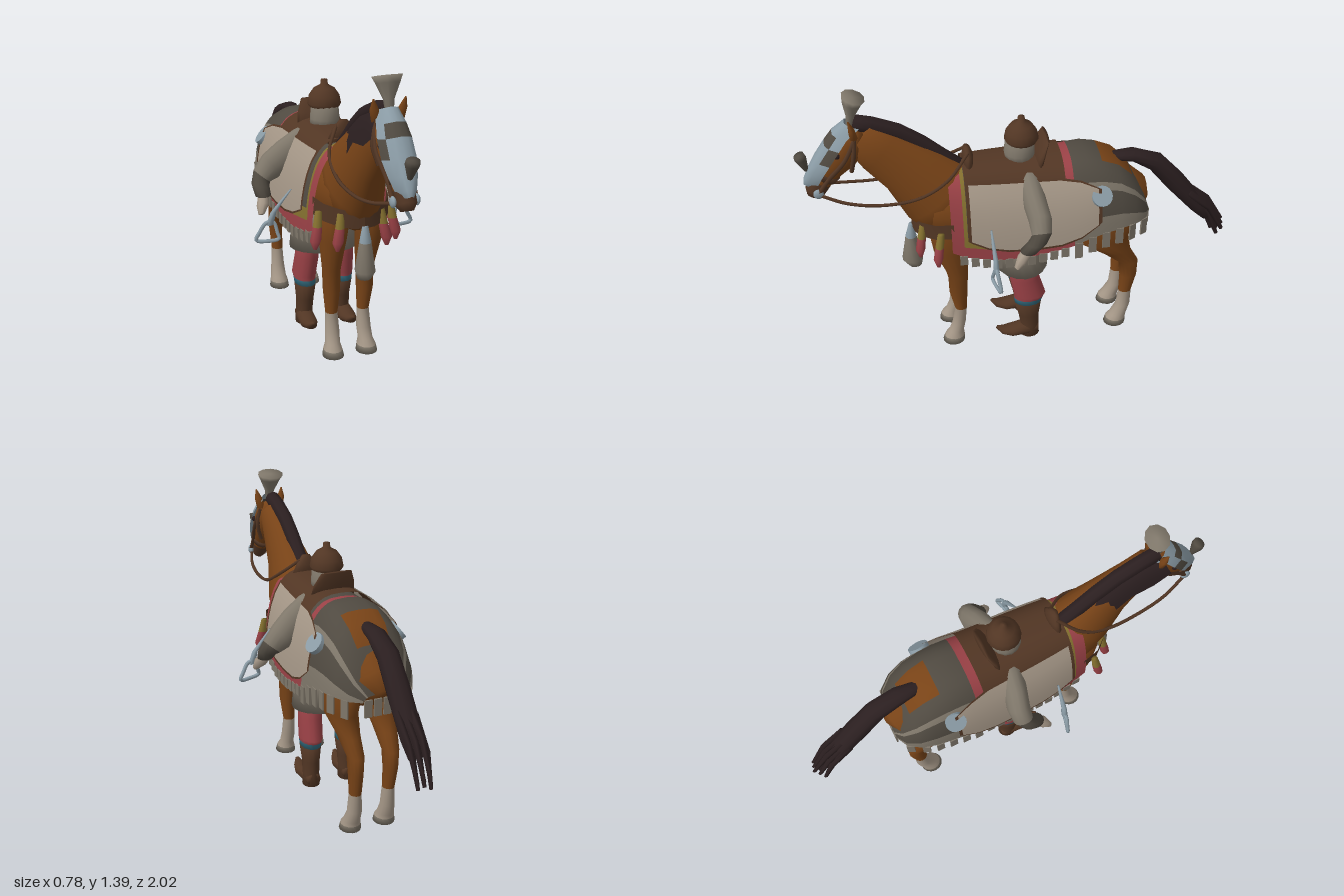
import * as THREE from 'three';

const V = (x, y, z) => new THREE.Vector3(x, y, z);
const X = V(1, 0, 0), Z = V(0, 0, 1);
const paint = (name, color) => new THREE.MeshStandardMaterial({ name, color, side: THREE.DoubleSide });

export function createModel() {
  const model = new THREE.Group();
  const M = {
    coat: paint('chestnut coat', 0x784317), leather: paint('brown leather', 0x523624),
    hair: paint('dark hair', 0x2b1f20), cloth: paint('grey cloth', 0x7f776a),
    cream: paint('cream cloth', 0xa69888), dark: paint('dark grey cloth', 0x504a41),
    red: paint('red cloth', 0x9a4146), steel: paint('pale steel', 0x8b9ca6),
    ochre: paint('ochre trim', 0x84702f), blue: paint('blue trim', 0x356f82),
  };

  const add = (name, geo, mat) => {
    const mesh = new THREE.Mesh(geo, mat);
    mesh.name = name;
    model.add(mesh);
    return mesh;
  };

  // Surface through rows of points; pick(i, j) names the colour of each cell
  function skin(name, rows, pick, closed = false) {
    const n = rows[0].length, cells = closed ? n : n - 1, faces = {};
    for (let i = 0; i < rows.length - 1; i++) for (let j = 0; j < cells; j++) {
      const a = i * n + j, b = i * n + (j + 1) % n, c = a + n, d = b + n;
      (faces[pick(i, j)] ??= []).push(a, c, b, b, c, d);
    }
    const geo = new THREE.BufferGeometry().setFromPoints(rows.flat());
    const index = [], mats = [];
    for (const [key, list] of Object.entries(faces)) {
      geo.addGroup(index.length, list.length, mats.length);
      mats.push(M[key]);
      index.push(...list);
    }
    geo.setIndex(index);
    geo.computeVertexNormals();
    return add(name, geo, mats);
  }

  // Capped loft of ellipses: [x, y, z, radius on a, radius on b, colour of the next segment]
  function loft(name, color, pts, { a = X, b = null, n = 14 } = {}) {
    const c = pts.map(p => V(p[0], p[1], p[2]));
    const rows = pts.map((p, i) => {
      const t = c[Math.min(i + 1, c.length - 1)].clone().sub(c[Math.max(i - 1, 0)]);
      const side = b ?? t.cross(a).normalize();
      return Array.from({ length: n }, (_, k) => {
        const q = k / n * Math.PI * 2;
        return c[i].clone().addScaledVector(a, p[3] * Math.cos(q)).addScaledVector(side, p[4] * Math.sin(q));
      });
    });
    const cap = p => Array.from({ length: n }, () => p.clone());
    rows.unshift(cap(c[0]));
    rows.push(cap(c[c.length - 1]));
    return skin(name, rows, i => pts[Math.max(i - 1, 0)][5] ?? color, true);
  }
  const tube = (name, color, pts, r, closed = false) => add(name, new THREE.TubeGeometry(
    new THREE.CatmullRomCurve3(pts.map(p => V(...p)), closed), 32, r, 6, closed), M[color]);

  // Horse
  loft('horseBody', 'coat', [
    [0, .68, -.57, .04, .06], [0, .71, -.53, .12, .12], [0, .76, -.42, .165, .17], [0, .78, -.25, .175, .2],
    [0, .77, -.05, .175, .2], [0, .77, .15, .17, .195], [0, .79, .3, .155, .185], [0, .79, .42, .13, .15],
    [0, .78, .49, .07, .09], [0, .78, .51, .02, .03]], { n: 20 });
  loft('neck', 'coat', [[0, .78, .32, .14, .2], [0, .86, .4, .13, .185], [0, 1.0, .52, .09, .14],
    [0, 1.1, .64, .068, .11], [0, 1.18, .72, .055, .08]], { n: 18 });
  loft('head', 'coat', [[0, 1.215, .72, .04, .035], [0, 1.165, .755, .064, .076], [0, 1.095, .805, .066, .078],
    [0, 1.02, .87, .05, .06], [0, .97, .905, .042, .05, 'leather'], [0, .92, .935, .042, .046, 'leather'],
    [0, .895, .945, .025, .03, 'leather']]);
  loft('noseband', 'leather', [[0, 1.015, .873, .056, .066], [0, .99, .89, .052, .06]]);

  // Face armour with darker chevrons, spout and plume
  const face = [[1.265, .765, .05], [1.22, .822, .062], [1.17, .86, .073], [1.1, .908, .074], [1.04, .944, .06],
    [.99, .968, .042], [.965, .972, .025]];
  skin('faceArmour', face.map(([y, z, w]) => [-1, -.75, -.4, 0, .4, .75, 1].map(k =>
    V(w * k, y - .02 * k * k, z + .01 - .062 * k ** 4))),
    (i, j) => (i === 1 && j > 0 && j < 5) || (i === 2 && (j === 0 || j === 5)) ? 'dark' : 'steel');
  loft('noseSpout', 'dark', [[0, 1.03, .96, .01, .01], [0, 1.09, .978, .03, .026], [0, 1.11, .985, .028, .024]]);
  loft('headPlume', 'cloth', [[0, 1.24, .755, .018, .015], [0, 1.29, .745, .025, .02], [0, 1.35, .733, .053, .042],
    [0, 1.375, .725, .066, .052]], { n: 10 });

  // Mane: crest ridge and the fall on the right side
  const crest = [[1.265, .74], [1.245, .66], [1.2, .55], [1.13, .45], [1.05, .36], [.985, .28]];
  loft('maneCrest', 'hair', crest.map(([y, z]) => [-.012, y - .02, z, .036, .038]), { n: 8 });
  skin('maneFall', crest.map(([y, z], i) => [V(0, y + .012, z), V(-.052, y - .03, z + .01),
    V(-.077, y - .085, z + .03), V(-.088, y - .12 - (i % 2) * .03, z + .045)]), () => 'hair');

  // Tail with loose strand ends
  loft('tail', 'hair', [[0, .955, -.42, .03, .02], [0, .95, -.52, .045, .03], [0, .9, -.63, .05, .045],
    [0, .78, -.735, .052, .05], [0, .63, -.86, .052, .042], [0, .56, -.91, .04, .025]], { n: 10 });
  for (let i = 0; i < 7; i++) {
    const x = (i - 3) * .014, up = ((i * 3) % 7) * .012;
    loft('tailStrand', 'hair', [[x, .7 + up / 2, -.8, .014, .02], [x, .58 + up, -.91, .014, .016],
      [x * .9, .44 + up, -.965 - up * .5, .008, .01]], { n: 5 });
  }

  // Trapper: stations of z, half width, top height, hem height
  const stations = [[-.59, .09, .71, .68], [-.56, .15, .8, .685], [-.5, .19, .9, .69], [-.43, .207, .97, .685],
    [-.35, .214, 1.005, .67], [-.28, .217, 1.02, .65], [-.21, .217, 1.015, .62], [-.16, .215, 1.005, .605],
    [0, .21, 1.0, .575], [.15, .203, .995, .57], [.28, .187, .99, .59], [.297, .185, .99, .595], [.352, .178, .985, .62]];
  const at = z => {
    let i = 0;
    while (i < stations.length - 2 && z > stations[i + 1][0]) i++;
    const p = stations[i], q = stations[i + 1], k = (z - p[0]) / (q[0] - p[0]);
    return p.map((v, n) => v + (q[n] - v) * k);
  };
  const arch = ([z, w, top, hem], t, grow = 0) => {
    const s = Math.sin(t);
    return V(Math.sign(s) * (w + grow) * Math.abs(s) ** .7, hem + (top + grow - hem) * Math.cos(t), z);
  };
  const N = 22;
  skin('trapper', stations.map(st => Array.from({ length: N + 1 }, (_, j) => arch(st, (j / N - .5) * Math.PI))),
    (i, j) => {
      const z = stations[i][0], k = Math.min(j, N - 1 - j);
      if (z === -.21 && k > 3) return 'red';
      if (z === .297) return 'red';
      if (z === .28) return k === 0 ? 'red' : 'ochre';
      if (z > -.22) return k === 0 ? 'red' : k === 1 ? 'ochre' : 'dark';
      if ((z === -.43 || z === -.5) && k > 8) return 'coat';
      return k < 2 || (k === 5 && z < -.25) ? 'cloth' : 'dark';
    });
  const tab = (x, y, z, turn, h) => {
    const m = add('hemTab', new THREE.BoxGeometry(.008, h, .036), M.cloth);
    m.position.set(x, y - h / 2, z);
    m.rotation.y = turn;
  };
  for (let x = -.07; x < .08; x += .045) tab(x, .69, -.59, Math.PI / 2, .08);

  // Saddle
  const seat = [-.17, -.1, 0, .12, .22, .28];
  skin('saddle', seat.map(z => Array.from({ length: 11 }, (_, j) => arch(at(z), (j / 5 - 1) * .62, .018))), () => 'leather');
  loft('pommel', 'leather', [[0, .98, .25, .08, .025], [0, 1.04, .25, .05, .025], [0, 1.08, .255, .02, .015]], { b: Z });
  loft('cantle', 'leather', [[0, .97, -.06, .11, .025], [0, 1.04, -.08, .1, .022], [0, 1.1, -.105, .075, .012]], { b: Z });

  for (const s of [-1, 1]) {
    // Horse legs with pale socks
    loft('frontLeg', 'coat', [[s * .075, .74, .36, .07, .1], [s * .085, .58, .355, .06, .08], [s * .08, .42, .325, .042, .048],
      [s * .08, .31, .327, .038, .044], [s * .077, .2, .318, .028, .029, 'cream'], [s * .077, .11, .33, .034, .032, 'cream'],
      [s * .08, .06, .345, .034, .036, 'cream'], [s * .082, .03, .355, .044, .05, 'cloth'], [s * .082, 0, .36, .05, .054, 'cloth']], { b: Z });
    loft('hindLeg', 'coat', [[s * .1, .74, -.41, .08, .14], [s * .1, .57, -.36, .075, .135], [s * .09, .47, -.44, .05, .075],
      [s * .085, .39, -.51, .038, .048], [s * .085, .3, -.515, .033, .042], [s * .082, .2, -.505, .028, .032, 'cream'],
      [s * .082, .11, -.5, .034, .035, 'cream'], [s * .085, .05, -.475, .04, .042, 'cream'],
      [s * .085, .03, -.465, .046, .05, 'cloth'], [s * .085, 0, -.46, .05, .055, 'cloth']], { b: Z });

    // Ears, eyes, bridle, reins
    loft('ear', 'coat', [[s * .048, 1.2, .74, .022, .018], [s * .06, 1.25, .745, .02, .014], [s * .068, 1.295, .755, .003, .003]], { b: Z, n: 8 });
    const eye = add('eye', new THREE.SphereGeometry(.014, 10, 8), M.hair);
    eye.position.set(s * .06, 1.125, .82);
    tube('cheekStrap', 'leather', [[s * .052, 1.2, .735], [s * .068, 1.1, .79], [s * .052, 1.0, .87], [s * .05, .93, .92]], .01);
    tube('throatStrap', 'leather', [[s * .055, 1.19, .74], [s * .066, 1.11, .75], [s * .045, 1.03, .765]], .01);
    const bit = add('bit', new THREE.SphereGeometry(.024, 10, 8), M.steel);
    bit.position.set(s * .05, .93, .92);
    bit.scale.x = .5;
    tube('rein', 'leather', [[s * .05, .92, .91], [s * .085, .89, .8], [s * .105, .875, .65], [s * .115, .9, .48],
      [s * .1, .97, .35], [s * .03, 1.06, .25]], .008);

    // Flat breast band and tassels
    const band = [[.172, .73, .34], [.15, .72, .42], [.1, .71, .482], [.05, .705, .512], [0, .705, .522]];
    skin('breastBand', band.map(([x, y, z]) => [V(s * x, y + .045, z), V(s * x, y - .035, z)]), () => 'leather');
    for (const [x, y, z] of [[.1, .66, .485], [.175, .65, .41]])
      loft('tassel', 'red', [[s * (x - .008), y + .075, z - .01, .016, .016, 'ochre'], [s * x, y + .01, z, .022, .02],
        [s * (x + .012), y - .05, z + .01, .026, .022], [s * (x + .014), y - .09, z + .01, .008, .008]], { b: Z, n: 8 });

    // Hem fringe, steel roundel, side panel with dark rim
    for (let z = -.55; z < .34; z += z < -.22 ? .064 : .052) {
      const [, w, , hem] = at(z);
      tab(s * w, hem + .004, z, z < -.45 ? s * .5 : 0, z < -.22 ? .085 : .05);
    }
    const roundel = add('roundel', new THREE.CylinderGeometry(.048, .048, .024, 16), M.steel);
    roundel.position.copy(arch(at(-.33), s * .95, .012));
    roundel.quaternion.setFromUnitVectors(V(0, 1, 0), V(s * .78, .62, -.1).normalize());
    const us = [0, .025, .15, .3, .5, .7, .85, .975, 1], vs = [0, .03, .2, .4, .6, .8, .97, 1];
    skin('sidePanel', us.map(u => vs.map(v => {
      const z = .28 - u * .61, top = .945 - .05 * Math.max(0, u - .8) * 5 * u;
      const y = top + (.625 + .09 * Math.abs(2 * u - .9) ** 3 - top) * v;
      const q = at(z);
      return arch(q, s * Math.acos(Math.min(1, (y - q[3]) / (q[2] - q[3]))), .02);
    })), (i, j) => i === 0 || i === 7 || j === 0 || j === 6 ? 'leather' : 'cream');

    // Rider's arm with banded forearm, hand, and the stirrup hung beside it
    loft('sleeve', 'cloth', [[s * .05, .96, -.01, .05, .05], [s * .1, .925, -.015, .055, .065], [s * .17, .865, -.025, .055, .075],
      [s * .24, .81, -.04, .053, .068], [s * .29, .765, -.04, .046, .048, 'dark'], [s * .305, .73, -.015, .044, .042, 'dark'],
      [s * .303, .69, .02, .04, .036]], { a: Z });
    loft('hand', 'cream', [[s * .3, .7, .015, .024, .024], [s * .315, .655, .055, .03, .026], [s * .33, .62, .08, .014, .014]], { n: 8 });
    tube('stirrup', 'steel', [[s * .3, .61, .17], [s * .285, .56, .18], [s * .28, .535, .185], [s * .33, .525, .175],
      [s * .38, .53, .16], [s * .365, .565, .163], [s * .335, .61, .17]], .009, true);
    loft('stirrupHanger', 'steel', [[s * .318, .6, .17, .018, .014], [s * .3, .66, .172, .014, .012],
      [s * .22, .76, .178, .005, .005]], { b: Z, n: 6 });

    // Rider's leg and curled boot
    loft('trouserLeg', 'red', [[s * .085, .47, .01, .055, .07], [s * .088, .36, .005, .055, .073], [s * .095, .26, -.02, .055, .078],
      [s * .094, .24, -.015, .052, .073, 'blue'], [s * .093, .205, -.01, .049, .066]], { b: Z });
    loft('bootShaft', 'leather', [[s * .093, .212, -.01, .05, .068], [s * .093, .13, -.015, .042, .052], [s * .095, .06, -.02, .04, .045],
      [s * .095, 0, -.02, .042, .048]], { b: Z });
    loft('bootFoot', 'leather', [[s * .095, .035, -.06, .035, .033], [s * .098, .04, 0, .042, .038], [s * .1, .03, .07, .042, .028],
      [s * .102, .038, .115, .028, .02], [s * .102, .06, .145, .008, .008]]);
  }

  // Chest pendant
  loft('chestPendant', 'cloth', [[0, .68, .525, .014, .012, 'steel'], [0, .61, .53, .028, .026], [0, .48, .53, .046, .05],
    [0, .44, .52, .03, .032]], { b: Z, n: 10 });

  // Rider's trunk, skirt, mail hood and helmet
  loft('riderTorso', 'leather', [[0, .6, 0, .12, .1], [0, .9, 0, .1, .085], [0, 1.0, 0, .085, .07], [0, 1.02, .005, .05, .05]], { b: Z });
  loft('skirt', 'cloth', [[0, .62, .01, .14, .11], [0, .53, .01, .16, .125], [0, .41, .01, .172, .132, 'dark']], { b: Z, n: 18 });
  loft('mailHood', 'cloth', [[0, .99, .01, .07, .07], [0, 1.03, .015, .068, .07], [0, 1.11, .01, .062, .066]], { b: Z });
  const helmet = add('helmet', new THREE.LatheGeometry([[.07, 1.085], [.078, 1.1], [.071, 1.135], [.048, 1.168], [.018, 1.185],
    [.015, 1.208], [0, 1.212]].map(p => new THREE.Vector2(...p)), 18), M.leather);
  helmet.position.z = .005;

  return model;
}
